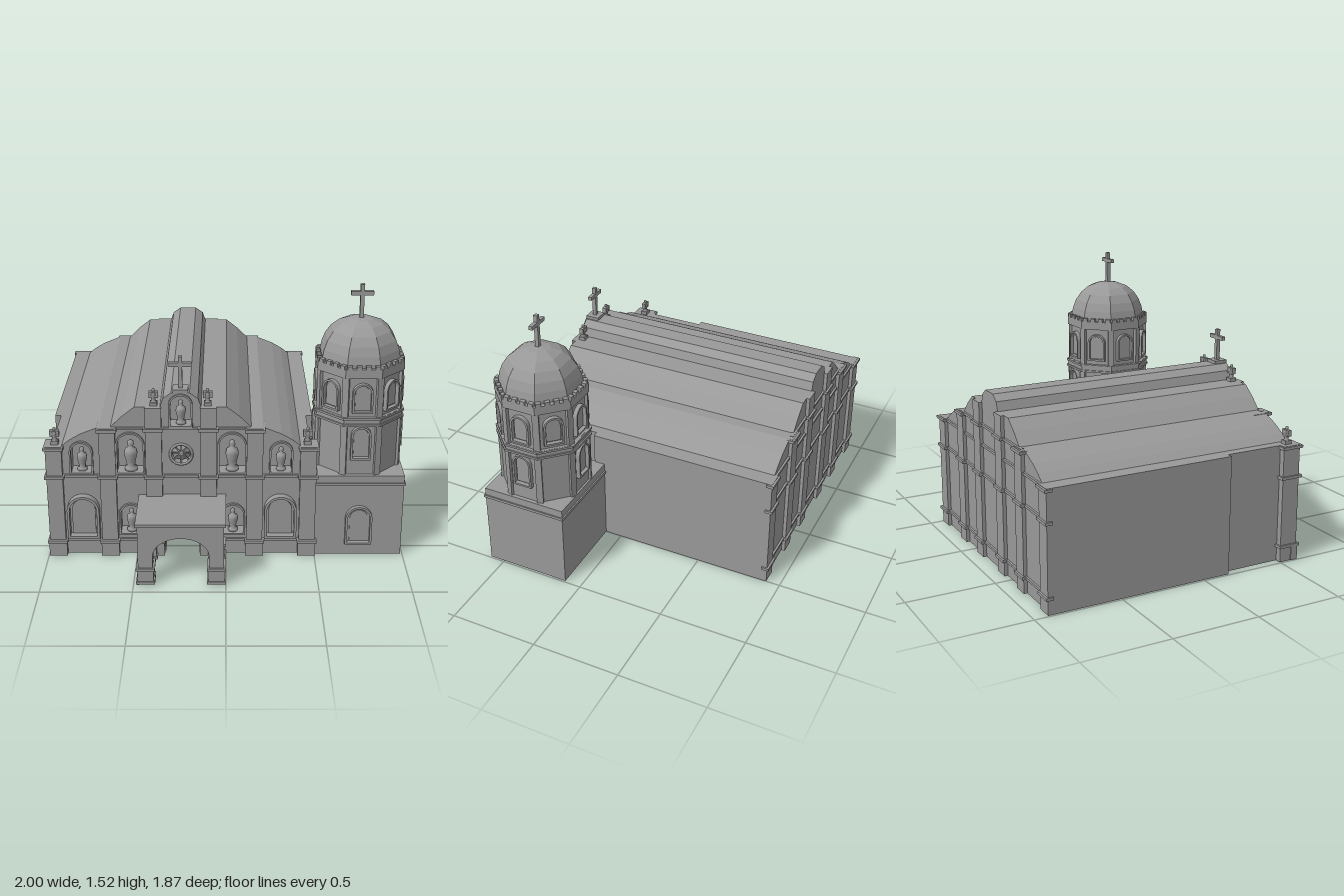
import * as THREE from 'three';

const stone = new THREE.MeshStandardMaterial({ color: 0x999999, side: THREE.DoubleSide });
stone.name = 'grey stone';
const CX = -0.245; // centre line of the nave

function add(parent, name, geo, x = 0, y = 0, z = 0) {
  const m = new THREE.Mesh(geo, stone);
  m.name = name;
  m.position.set(x, y, z);
  parent.add(m);
  return m;
}
// box given by its limits
function block(parent, name, x0, x1, y0, y1, z0, z1) {
  return add(parent, name, new THREE.BoxGeometry(x1 - x0, y1 - y0, z1 - z0),
    (x0 + x1) / 2, (y0 + y1) / 2, (z0 + z1) / 2);
}
function flat(geo) {
  const g = geo.toNonIndexed();
  g.computeVertexNormals();
  return g;
}
function extrude(shape, depth) {
  return new THREE.ExtrudeGeometry(shape, { depth, bevelEnabled: false, curveSegments: 14 });
}
// round-headed opening outline
function arch(cx, w, y0, y1, Type = THREE.Path) {
  const r = w / 2, p = new Type();
  p.moveTo(cx - r, y0);
  p.lineTo(cx + r, y0);
  p.lineTo(cx + r, y1 - r);
  p.absarc(cx, y1 - r, r, 0, Math.PI, false);
  p.lineTo(cx - r, y0);
  return p;
}
// raised arched surround
function archFrame(cx, w, y0, y1, t, depth) {
  const s = arch(cx, w, y0, y1, THREE.Shape);
  s.holes.push(arch(cx, w - 2 * t, y0 + t, y1 - t));
  return extrude(s, depth);
}
// stepped, curved gable outline
function gable(half) {
  const right = [[half, 0], [half, 0.67], [0.655, 0.67], [0.61, 0.705], [0.55, 0.74], [0.45, 0.78], [0.385, 0.78],
    [0.32, 0.845], [0.25, 0.9], [0.112, 0.9], [0.095, 0.95], [0.05, 0.982]];
  const left = right.map(([x, y]) => [-x, y]).reverse();
  return new THREE.Shape([...right, ...left].map(([x, y]) => new THREE.Vector2(x, y)));
}
function octagon(apothem, h) {
  return flat(new THREE.CylinderGeometry(apothem / Math.cos(Math.PI / 8), apothem / Math.cos(Math.PI / 8), h, 8).rotateY(Math.PI / 8));
}
function cross(parent, x, y, z, h) {
  const g = new THREE.Group();
  g.name = 'cross';
  block(g, 'crossPost', -0.011, 0.011, 0, h, -0.011, 0.011);
  block(g, 'crossArms', -0.062, 0.062, h * 0.68, h * 0.68 + 0.022, -0.011, 0.011);
  g.position.set(x, y, z);
  parent.add(g);
}
// robed figure on a small foot
function statue(parent, x, y, z, h) {
  const g = new THREE.Group();
  g.name = 'statue';
  const pts = [[0, 0], [0.2, 0], [0.2, 0.1], [0.12, 0.12], [0.15, 0.3], [0.21, 0.55], [0.18, 0.68], [0.07, 0.76],
    [0.1, 0.84], [0.09, 0.94], [0, 1]].map(([a, b]) => new THREE.Vector2(a * h, b * h));
  add(g, 'figure', new THREE.LatheGeometry(pts, 10));
  g.position.set(x, y, z);
  parent.add(g);
}

function buildNave(root) {
  const nave = new THREE.Group();
  nave.name = 'nave';
  nave.position.x = CX;
  root.add(nave);

  // main hall and narrower bay behind the facade
  add(nave, 'hall', extrude(gable(0.745), 1.06), 0, 0, -0.9);
  add(nave, 'frontBay', extrude(gable(0.71), 0.14), 0, 0, 0.16);
  const notched = (half, top) => {
    const s = gable(half), p = s.getPoints();
    // doorway cut through to the ground
    const door = arch(0, 0.19, 0, top).getPoints(14).slice(1, -1).reverse();
    return new THREE.Shape([...p, new THREE.Vector2(-0.095, 0), ...door]);
  };
  add(nave, 'doorBay', extrude(notched(0.71, 0.28), 0.2), 0, 0, 0.3);

  // facade with niches
  const front = notched(0.745, 0.28), niches = [[0, 0.115, 0.79, 0.97]];
  for (const s of [-1, 1]) niches.push([s * 0.55, 0.115, 0.51, 0.69], [s * 0.28, 0.145, 0.51, 0.745], [s * 0.285, 0.12, 0.13, 0.31]);
  for (const n of niches) front.holes.push(arch(...n));
  const rose = new THREE.Path();
  rose.absarc(0, 0.62, 0.06, 0, Math.PI * 2, false);
  front.holes.push(rose);
  add(nave, 'facade', extrude(front, 0.08), 0, 0, 0.5);
  for (const [x, w, y0, y1] of niches) {
    add(nave, 'nicheFrame', archFrame(x, w + 0.016, y0 - 0.008, y1 + 0.008, 0.01, 0.02), 0, 0, 0.575);
    statue(nave, x, y0, 0.545, (y1 - y0) * 0.78);
  }

  // doorway with a curved back
  add(nave, 'doorApse', new THREE.CylinderGeometry(0.094, 0.094, 0.27, 20, 1, true, Math.PI / 2, Math.PI), 0, 0.14, 0.4);

  // rose window
  add(nave, 'roseRing', new THREE.TorusGeometry(0.06, 0.008, 6, 28), 0, 0.62, 0.585);
  add(nave, 'roseGlass', flat(new THREE.ConeGeometry(0.058, 0.03, 8).rotateX(Math.PI / 2)), 0, 0.62, 0.55);
  for (let i = 0; i < 4; i++) {
    add(nave, 'roseSpoke', new THREE.BoxGeometry(0.116, 0.007, 0.01), 0, 0.62, 0.565).rotation.z = i * Math.PI / 4;
  }

  // tall side windows
  for (const s of [-1, 1]) {
    add(nave, 'windowFrame', archFrame(s * 0.55, 0.18, 0.115, 0.375, 0.014, 0.05), 0, 0, 0.575);
    add(nave, 'windowPanel', extrude(arch(s * 0.55, 0.13, 0.13, 0.345, THREE.Shape), 0.008), 0, 0, 0.58);
  }

  // pilasters with plinths and mouldings, front and back
  const columns = [[0.7, 0.67, [0.09, 0.49, 0.66]], [0.405, 0.78, [0.09, 0.49, 0.77]], [0.15, 0.9, [0.09, 0.49, 0.775]]];
  for (const [off, top, bands] of columns) for (const s of [-1, 1]) {
    const x = s * off;
    block(nave, 'pilaster', x - 0.045, x + 0.045, 0, top, 0.57, 0.605);
    block(nave, 'plinth', x - 0.05, x + 0.05, 0, 0.09, 0.57, 0.612);
    block(nave, 'backPilaster', x - 0.045, x + 0.045, 0, top, -0.92, -0.89);
    for (const y of bands) {
      block(nave, 'pilasterMoulding', x - 0.055, x + 0.055, y - 0.008, y + 0.008, 0.49, 0.62);
      block(nave, 'backMoulding', x - 0.055, x + 0.055, y - 0.008, y + 0.008, -0.932, -0.89);
    }
  }
  // string courses between the pilasters
  for (const [y, half] of [[0.09, 0.7], [0.49, 0.7], [0.775, 0.42]]) {
    for (const s of [-1, 1]) block(nave, 'stringCourse', s < 0 ? -half : 0.11, s < 0 ? -0.11 : half, y - 0.007, y + 0.007, 0.57, 0.592);
    if (y > 0.2) block(nave, 'stringCourse', -0.11, 0.11, y - 0.007, y + 0.007, 0.57, 0.592);
    block(nave, 'backStringCourse', -half, half, y - 0.007, y + 0.007, -0.912, -0.89);
  }
  block(nave, 'backStringCourse', -0.68, 0.68, 0.653, 0.667, -0.912, -0.89);

  // rooftop figures and cross
  for (const s of [-1, 1]) for (const [x, y] of [[0.695, 0.67], [0.147, 0.9]]) {
    block(nave, 'statueBase', s * x - 0.02, s * x + 0.02, y - 0.01, y + 0.02, 0.53, 0.57);
    statue(nave, s * x, y + 0.015, 0.55, 0.085);
    block(nave, 'statueShoulders', s * x - 0.026, s * x + 0.026, y + 0.045, y + 0.08, 0.538, 0.562);
  }
  block(nave, 'crossBase', -0.042, 0.042, 0.97, 1.0, 0.505, 0.585);
  cross(nave, 0, 1.0, 0.545, 0.18);
}

function buildPorch(root) {
  const porch = new THREE.Group();
  porch.name = 'porch';
  porch.position.x = CX + 0.003;
  root.add(porch);
  // wall standing on two legs with an arch between them
  const arcade = (a, b, leg, top, spring) => {
    const s = new THREE.Shape(), c = (a + b) / 2, r = (b - a) / 2 - leg;
    s.moveTo(a, 0.09);
    s.lineTo(a + leg, 0.09);
    s.lineTo(a + leg, spring);
    s.absellipse(c, spring, r, top - spring, Math.PI, 0, true);
    s.lineTo(b - leg, 0.09);
    s.lineTo(b, 0.09);
    s.lineTo(b, 0.355);
    s.lineTo(a, 0.355);
    return s;
  };
  block(porch, 'porchRoof', -0.242, 0.242, 0.353, 0.372, 0.57, 0.935);
  for (const z of [0.59, 0.835]) add(porch, 'porchArch', extrude(arcade(-0.232, 0.232, 0.08, 0.28, 0.17), z < 0.7 ? 0.06 : 0.085), 0, 0, z);
  for (const s of [-1, 1]) {
    const side = extrude(arcade(-0.92, -0.59, 0.09, 0.288, 0.2), 0.08).rotateY(Math.PI / 2);
    add(porch, 'porchSideArch', side, s * 0.192 - 0.04, 0, 0);
    for (const [z0, z1] of [[0.57, 0.66], [0.825, 0.925]]) {
      const a = s * 0.192 - 0.044, b = s * 0.192 + 0.044;
      block(porch, 'porchPedestal', a, b, 0, 0.1, z0, z1);
      for (const y of [0.005, 0.085]) block(porch, 'pedestalRim', a - 0.007, b + 0.007, y, y + 0.016, z0 - 0.007, z1 + 0.007);
    }
  }
}

function buildTower(root) {
  const tower = new THREE.Group();
  tower.name = 'bellTower';
  tower.position.set(0.74, 0, 0.338);
  root.add(tower);

  // square base
  block(tower, 'towerBase', -0.248, 0.25, 0, 0.49, -0.24, 0.25);
  block(tower, 'baseMoulding', -0.255, 0.257, 0.43, 0.446, -0.248, 0.258);
  add(tower, 'baseWindow', archFrame(0.005, 0.15, 0.07, 0.305, 0.012, 0.03), 0, 0, 0.245);
  add(tower, 'baseWindowPanel', extrude(arch(0.005, 0.1, 0.085, 0.28, THREE.Shape), 0.006), 0, 0, 0.25);

  // octagonal storeys and bands
  add(tower, 'lowerStorey', octagon(0.228, 0.32), 0, 0.64, 0);
  add(tower, 'upperStorey', octagon(0.222, 0.27), 0, 0.94, 0);
  add(tower, 'middleBand', octagon(0.238, 0.05), 0, 0.808, 0);
  for (const y of [0.79, 0.826]) add(tower, 'bandRim', octagon(0.246, 0.012), 0, y, 0);
  add(tower, 'parapet', octagon(0.238, 0.05), 0, 1.086, 0);

  for (let k = 0; k < 8; k++) {
    const side = new THREE.Group();
    side.name = 'towerSide';
    side.rotation.y = k * Math.PI / 4;
    tower.add(side);
    // openings: every face above, alternate faces below
    const spots = [[0.86, 1.03, 0.222]];
    if (k % 2 === 0) spots.push([0.585, 0.782, 0.228]);
    for (const [y0, y1, z] of spots) {
      add(side, 'towerWindowFrame', archFrame(0, 0.112, y0, y1, 0.011, 0.027), 0, 0, z - 0.003);
      add(side, 'towerWindowPanel', extrude(arch(0, 0.078, y0 + 0.017, y1 - 0.017, THREE.Shape), 0.006), 0, 0, z);
    }
    // battlements
    for (let i = 0; i < 4; i++) {
      const x = (i - 1.5) * 0.05;
      block(side, 'merlon', x - 0.014, x + 0.014, 1.11, 1.13, 0.215, 0.238);
    }
    // corner strips
    const corner = new THREE.Group();
    corner.name = 'towerCorner';
    corner.rotation.y = Math.PI / 8;
    side.add(corner);
    block(corner, 'cornerStrip', -0.018, 0.018, 0.83, 1.065, 0.22, 0.25);
    block(corner, 'lowerCornerStrip', -0.018, 0.018, 0.49, 0.79, 0.22, 0.254);
  }

  // faceted dome
  const dome = [[0.23, 1.11], [0.23, 1.13], [0.222, 1.17], [0.203, 1.22], [0.17, 1.268], [0.125, 1.305], [0.065, 1.328], [0, 1.336]]
    .map(([a, y]) => new THREE.Vector2(a, y));
  add(tower, 'dome', flat(new THREE.LatheGeometry(dome, 8).rotateY(Math.PI / 8)));
  cross(tower, 0, 1.33, 0.005, 0.19);
}

export function createModel() {
  const root = new THREE.Group();
  root.name = 'church';
  buildNave(root);
  buildPorch(root);
  buildTower(root);
  return root;
}
